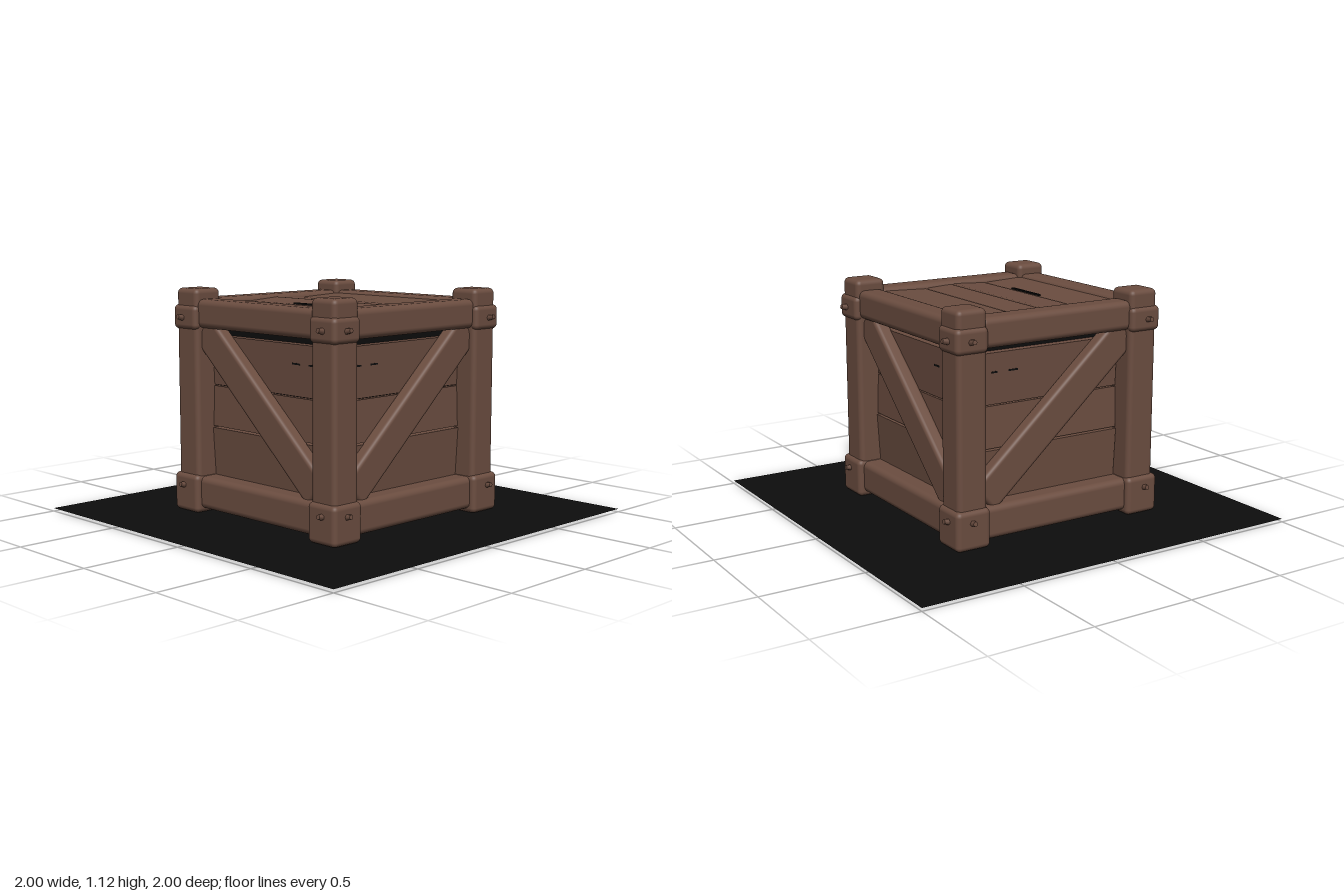
import * as THREE from 'three';
import { RoundedBoxGeometry } from 'three/addons/geometries/RoundedBoxGeometry.js';

export function createModel() {
  const model = new THREE.Group();
  model.name = 'woodenCrate';
  const wood = new THREE.MeshStandardMaterial({ color: 0x6b4d40 });
  wood.name = 'brownWood';
  const dark = new THREE.MeshStandardMaterial({ color: 0x0d0d0d, side: THREE.DoubleSide });
  dark.name = 'nearBlack';

  const add = (parent, name, geometry, material, x, y, z) => {
    const mesh = new THREE.Mesh(geometry, material);
    mesh.name = name;
    mesh.position.set(x, y, z);
    parent.add(mesh);
    return mesh;
  };
  // Softly worn timber block
  const timber = (parent, name, w, h, d, x, y, z, r = 0.025) =>
    add(parent, name, new RoundedBoxGeometry(w, h, d, 3, r), wood, x, y, z);

  // Ground sheet and dark inside of the crate
  const ground = add(model, 'groundSheet', new THREE.PlaneGeometry(2, 2), dark, 0, 0.015, 0);
  ground.rotation.x = -Math.PI / 2;
  add(model, 'darkInside', new THREE.BoxGeometry(0.84, 0.96, 0.84), dark, 0, 0.5, 0);

  // Corner posts with a flared foot, a collar and bent nails
  for (const sx of [-1, 1]) {
    for (const sz of [-1, 1]) {
      const corner = new THREE.Group();
      corner.name = 'cornerPost';
      model.add(corner);
      timber(corner, 'post', 0.155, 1.1, 0.155, sx * 0.475, 0.57, sz * 0.475);
      timber(corner, 'foot', 0.18, 0.19, 0.18, sx * 0.48, 0.111, sz * 0.48);
      timber(corner, 'collar', 0.17, 0.12, 0.17, sx * 0.48, 0.98, sz * 0.48);
      add(corner, 'footPad', new THREE.BoxGeometry(0.16, 0.014, 0.16), dark, sx * 0.475, 0.007, sz * 0.475);
      for (const y of [0.15, 0.98]) {
        const nailX = add(corner, 'nail', new THREE.CylinderGeometry(0.012, 0.016, 0.04, 6), wood, sx * 0.575, y, sz * 0.49);
        nailX.rotation.z = -sx * 1.4;
        const nailZ = add(corner, 'nail', new THREE.CylinderGeometry(0.012, 0.016, 0.04, 6), wood, sx * 0.49, y, sz * 0.575);
        nailZ.rotation.x = sz * 1.4;
      }
    }
  }

  // Upright plank face whose top corners may be rounded
  const plankGeometry = (w, h, r) => {
    const s = new THREE.Shape();
    s.moveTo(-w / 2, -h / 2);
    s.lineTo(w / 2, -h / 2);
    s.lineTo(w / 2, h / 2 - r);
    s.quadraticCurveTo(w / 2, h / 2, w / 2 - r, h / 2);
    s.lineTo(-w / 2 + r, h / 2);
    s.quadraticCurveTo(-w / 2, h / 2, -w / 2, h / 2 - r);
    return new THREE.ExtrudeGeometry(s, { depth: 0.04, bevelEnabled: false });
  };

  // Four sides: rails, three planks and a diagonal brace
  for (let i = 0; i < 4; i++) {
    const side = new THREE.Group();
    side.name = 'side';
    side.rotation.y = i * Math.PI / 2;
    model.add(side);
    const flip = i % 2 ? -1 : 1;

    timber(side, 'topRail', 0.84, 0.14, 0.13, 0, 1.0, 0.475, 0.03);
    timber(side, 'bottomRail', 0.84, 0.16, 0.13, 0, 0.118, 0.477, 0.03);

    [[0.17, 0.438, 0.06], [0.442, 0.641, -0.04], [0.65, 0.893, 0.04]].forEach(([low, high, tilt], k) => {
      const r = k === 2 ? 0.06 : 0.004;
      const plank = add(side, 'sidePlank', plankGeometry(0.785, high - low, r), wood, 0, (low + high) / 2, 0.412);
      plank.rotation.x = tilt;
    });

    const brace = timber(side, 'diagonalBrace', 1.06, 0.165, 0.075, flip * -0.005, 0.575, 0.482, 0.02);
    brace.rotation.z = -flip * 0.725;

    // Splits in the planks
    for (const [x, y, w] of [[0.2, 0.8, 0.05], [0.3, 0.8, 0.03]]) {
      add(side, 'split', new THREE.BoxGeometry(w, 0.008, 0.006), dark, flip * x, y, 0.452);
    }
  }

  // Lid boards
  const lid = new THREE.Group();
  lid.name = 'lid';
  model.add(lid);
  for (const [a, b, tilt] of [[-0.45, -0.153, 0.04], [-0.147, -0.002, -0.05], [0.002, 0.197, 0.06], [0.202, 0.45, -0.04]]) {
    const board = timber(lid, 'lidBoard', 0.84, 0.07, b - a, 0, 1.015, (a + b) / 2, 0.008);
    board.rotation.x = tilt;
  }
  add(lid, 'lidGap', new THREE.BoxGeometry(0.24, 0.008, 0.012), dark, 0.04, 1.05, 0.2);

  // Splinters of the floor boards showing beneath the ground sheet
  for (const [x, z, length, turn] of [
    [0.21, 0.18, 0.2, -0.7], [-0.17, -0.19, 0.18, -0.7], [-0.36, -0.02, 0.22, 1.57],
    [0, -0.42, 0.06, 0], [-0.12, 0.14, 0.07, 0.4], [-0.22, 0.12, 0.05, 0],
  ]) {
    const sliver = add(model, 'floorSplinter', new THREE.BoxGeometry(length, 0.008, 0.04), wood, x, 0.011, z);
    sliver.rotation.y = turn;
  }
  return model;
}
